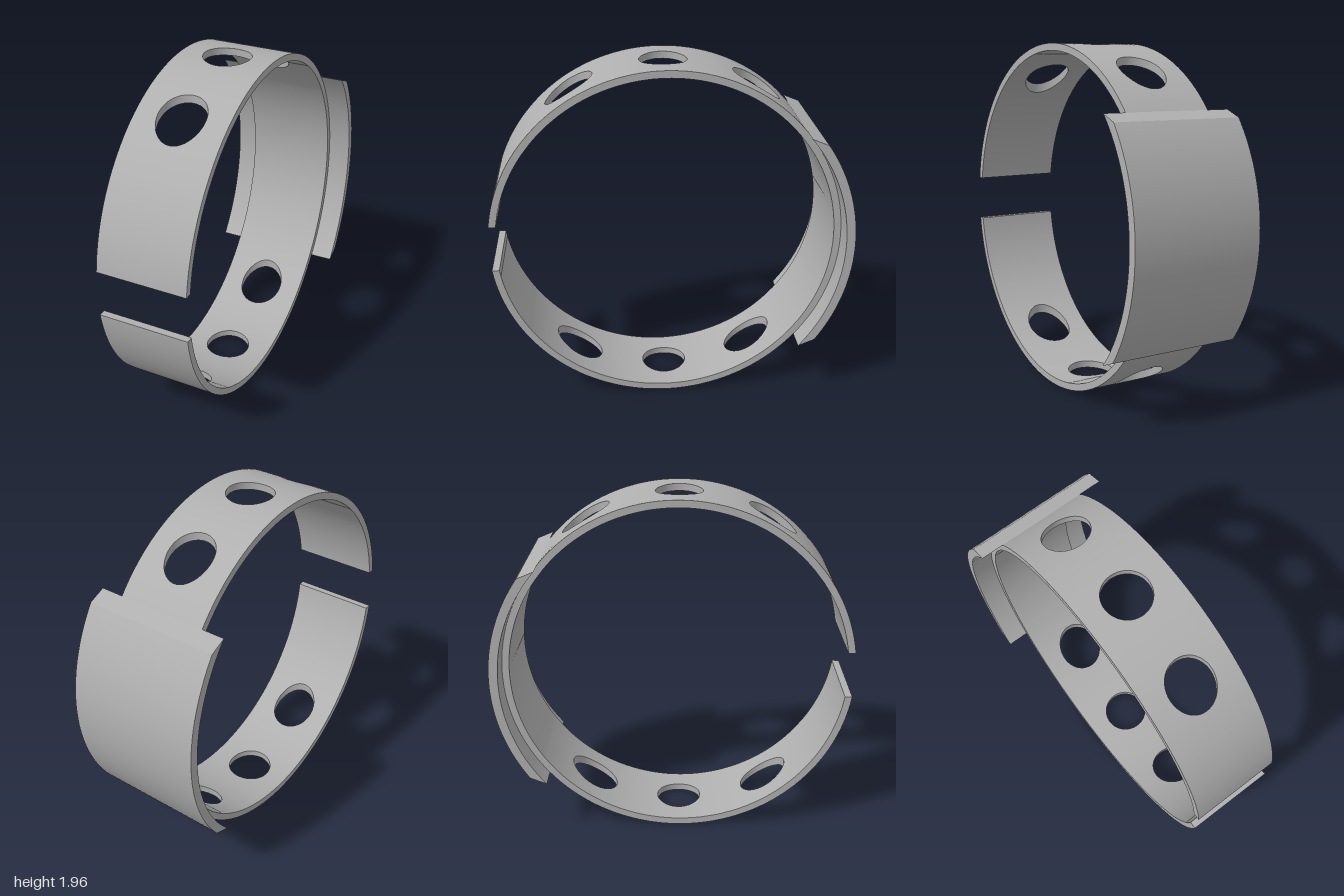
import * as THREE from 'three';
import { mergeGeometries, toCreasedNormals } from 'three/addons/utils/BufferGeometryUtils.js';
import { ParametricGeometry } from 'three/addons/geometries/ParametricGeometry.js';

const OUTER = 0.98, INNER = 0.94;   // band radii
const HALF = 0.255;                 // half the band width
const HOLE = 0.13;                  // hole radius
const GAP = 0.132;                  // half the height of the front opening
const SEAM = HALF * 3;              // where the perforated arcs meet the plain ones
const CREASE = 0.5;

// Curved slab across x; each end has its own angle on the outer and inner arc
function arcSlab(outerR, innerR, outerFrom, outerTo, innerFrom, innerTo, width) {
  const shape = new THREE.Shape();
  shape.absarc(0, 0, outerR, outerFrom, outerTo, false);
  shape.absarc(0, 0, innerR, innerTo, innerFrom, true);
  const geo = new THREE.ExtrudeGeometry(shape, { depth: width, bevelEnabled: false, curveSegments: 32 });
  return geo.translate(0, 0, -width / 2).rotateY(-Math.PI / 2);
}

// Square piece of the band, pierced by a vertical round hole centred on z = cz
function piercedPatch(cz) {
  const point = (s, t, radius, target) => {
    const c = Math.cos(t), d = -Math.sin(t);
    const reach = HALF / Math.max(Math.abs(c), Math.abs(d));
    const r = THREE.MathUtils.lerp(HOLE, reach, s);
    const z = cz + d * r;
    target.set(c * r, Math.sqrt(radius * radius - z * z), z);
  };
  const lerp = THREE.MathUtils.lerp;
  // outer face, rim, inner face, hole wall
  const faces = [
    [8, (u, t, p) => point(u, t, OUTER, p)],
    [1, (u, t, p) => point(1, t, lerp(OUTER, INNER, u), p)],
    [8, (u, t, p) => point(1 - u, t, INNER, p)],
    [1, (u, t, p) => point(0, t, lerp(INNER, OUTER, u), p)],
  ];
  return faces.map(([steps, f]) =>
    new ParametricGeometry((u, v, p) => f(u, v * Math.PI * 2, p), steps, 64).toNonIndexed());
}

function bandGeometry() {
  const parts = [];
  // three holes above and three below
  for (const cz of [-2 * HALF, 0, 2 * HALF]) {
    parts.push(...piercedPatch(cz));
    parts.push(...piercedPatch(cz).map((g) => g.rotateX(Math.PI)));
  }
  const so = Math.acos(SEAM / OUTER), si = Math.acos(SEAM / INNER);
  const go = Math.asin(GAP / OUTER), gi = Math.asin(GAP / INNER);
  // plain arc at the back, then the two arcs beside the front opening
  parts.push(arcSlab(OUTER, INNER, Math.PI - so, Math.PI + so, Math.PI - si, Math.PI + si, HALF * 2));
  parts.push(arcSlab(OUTER, INNER, go, so, gi, si, HALF * 2));
  parts.push(arcSlab(OUTER, INNER, -so, -go, -si, -gi, HALF * 2));
  return toCreasedNormals(mergeGeometries(parts), CREASE);
}

export function createModel() {
  const metal = new THREE.MeshStandardMaterial({ color: 0xb0b0b0 });
  metal.name = 'grey metal';

  const model = new THREE.Group();
  model.name = 'perforatedClampRing';

  const band = new THREE.Mesh(bandGeometry(), metal);
  band.name = 'perforatedBand';

  // wide curved plate wrapped round the back of the band
  const PLATE = 1.03;
  const po = Math.asin(0.595 / PLATE), pi = Math.asin(0.633 / OUTER);
  const plate = new THREE.Mesh(toCreasedNormals(
    arcSlab(PLATE, OUTER, Math.PI - po, Math.PI + po, Math.PI - pi, Math.PI + pi, 0.77), CREASE), metal);
  plate.name = 'backPlate';

  for (const mesh of [band, plate]) {
    mesh.position.set(0, 0.98, 0.03);
    model.add(mesh);
  }
  return model;
}
